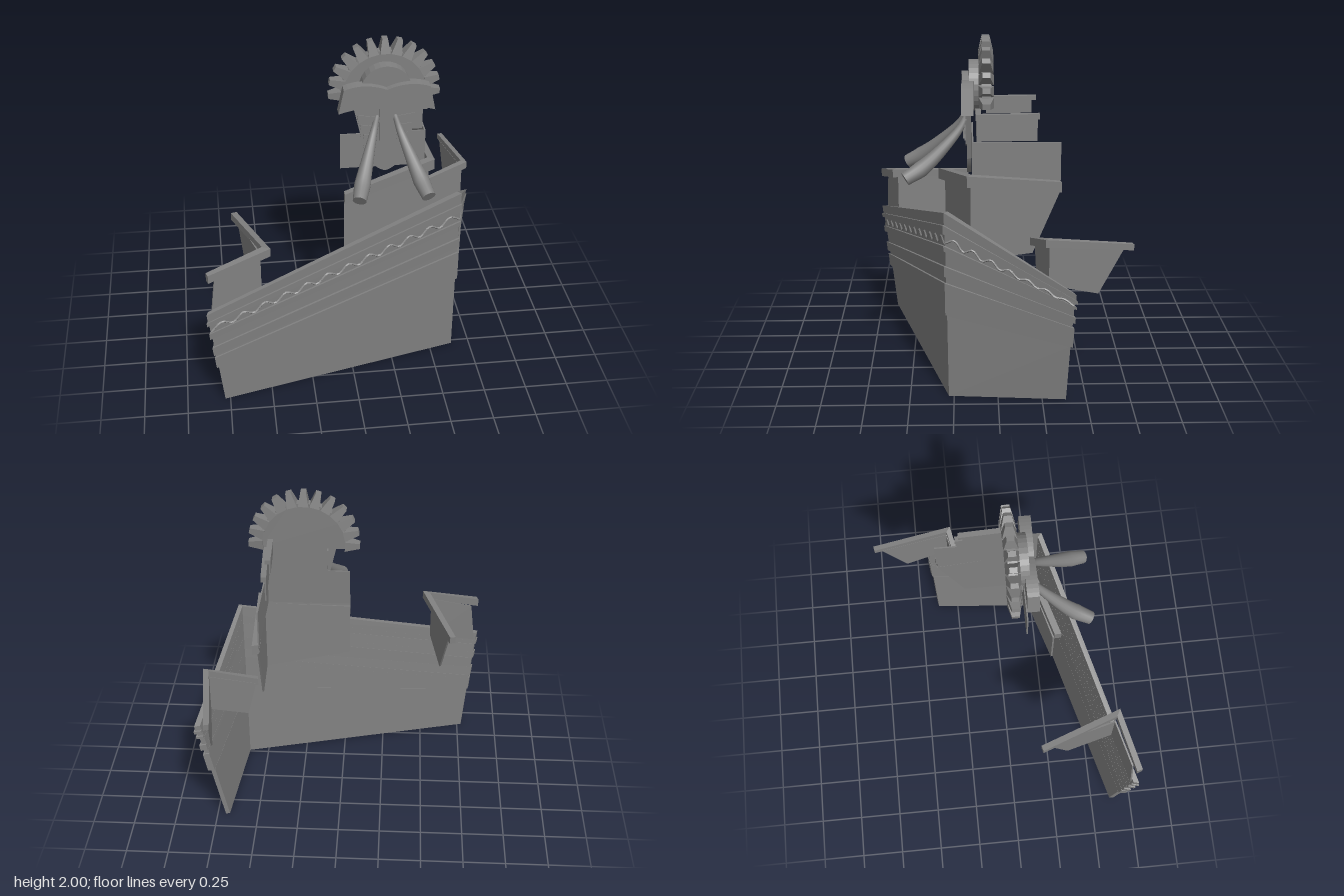
import * as THREE from 'three';

const GREY = 0x808080;
const mat = new THREE.MeshStandardMaterial({ color: GREY, flatShading: true, side: THREE.DoubleSide });
const smooth = new THREE.MeshStandardMaterial({ color: GREY, side: THREE.DoubleSide });
const V = (x, y, z) => new THREE.Vector3(x, y, z);

function add(parent, name, geo, m = mat) {
  const mesh = new THREE.Mesh(geo, m);
  mesh.name = name;
  parent.add(mesh);
  return mesh;
}

// Solid between a bottom and a top quad, one normal per side
function hexa(b, t) {
  const up = b[1].clone().sub(b[0]).cross(b[3].clone().sub(b[0])).y;
  if (up < 0) { b = [...b].reverse(); t = [...t].reverse(); }
  const pts = [], normals = [];
  const quad = (p, q, r, s) => {
    pts.push(p, q, r, p, r, s);
    const n = r.clone().sub(p).cross(s.clone().sub(q)).normalize();
    for (let i = 0; i < 6; i++) normals.push(n.x, n.y, n.z);
  };
  for (let i = 0; i < 4; i++) {
    const j = (i + 1) % 4;
    quad(b[i], b[j], t[j], t[i]);
  }
  quad(t[0], t[1], t[2], t[3]);
  quad(b[3], b[2], b[1], b[0]);
  const g = new THREE.BufferGeometry().setFromPoints(pts);
  g.setAttribute('normal', new THREE.Float32BufferAttribute(normals, 3));
  return g;
}

// Horizontal unit direction between two points
const dir = (from, to) => V(to.x - from.x, 0, to.z - from.z).normalize();

// L-shaped wall in plan. c, a, b = [bottom, top] of the corner and of both ends;
// t = thickness inward, off = how far it stands out of the base line.
function lWall(parent, name, c, a, b, t, off = 0) {
  const group = new THREE.Group();
  group.name = name;
  parent.add(group);
  const u = dir(c[1], a[1]), v = dir(c[1], b[1]);
  const at = (p, du, dv) => p.clone().addScaledVector(u, du).addScaledVector(v, dv);
  const armA = k => [at(a[k], off * 0.6, -off), at(c[k], -off, -off), at(c[k], t, t), at(a[k], off * 0.6, t)];
  const armB = k => [at(b[k], -off, off * 0.6), at(c[k], -off, -off), at(c[k], t, t), at(b[k], t, off * 0.6)];
  add(group, name + 'Front', hexa(armA(0), armA(1)), smooth);
  add(group, name + 'Side', hexa(armB(0), armB(1)), smooth);
}

// Upright pair [bottom, top] at one plan position
const post = (x, z, y0, y1) => [V(x, y0, z), V(x, y1, z)];

// Base lines of the leaning outer walls at height y
const leftEnd = y => V(-0.78 - 0.1 * y, y, 0.645 + 0.12 * y);
const corner = y => V(0.64 + 0.005 * y, y, 0.28 + 0.01 * y);
const rightEnd = y => V(0.7 + 0.2 * y, y, -0.385 - 0.04 * y);

function buildWalls(root) {
  // Heights of each seam at left end, corner, right end; stand-out of the strip above it
  const seams = [
    [0, 0, 0, 0], [0.27, 0.5, 0.355, 0.014], [0.35, 0.69, 0.48, 0.002],
    [0.37, 0.73, 0.51, 0.016], [0.43, 0.79, 0.55, 0.003], [0.5, 0.88, 0.6, 0.018],
    [0.54, 0.91, 0.615, 0.006], [0.6, 0.98, 0.635, 0.02], [0.625, 1.03, 0.655, 0.01],
    [0.68, 1.1, 0.69, 0],
  ];
  const names = ['lowerWall', 'broadBand', 'lowerGroove', 'middleBand', 'plainPanel',
    'friezeSill', 'friezePanel', 'friezeCornice', 'parapet'];
  names.forEach((name, i) => {
    const p = seams[i], q = seams[i + 1];
    lWall(root, name, [corner(p[1]), corner(q[1])], [leftEnd(p[0]), leftEnd(q[0])],
      [rightEnd(p[2]), rightEnd(q[2])], 0.025, p[3]);
  });
  // Zigzag ornament on the frieze
  const zigzag = (name, end, k, count, outward) => {
    const pts = [];
    for (let i = 0; i <= count; i++) {
      const s = i / count, h = i % 2 ? 0.8 : 0.2;
      const y0 = THREE.MathUtils.lerp(seams[6][1], seams[6][k], s);
      const y1 = THREE.MathUtils.lerp(seams[7][1], seams[7][k], s);
      const p = corner(0.95).lerp(end, s).addScaledVector(outward, 0.006);
      pts.push(V(p.x, THREE.MathUtils.lerp(y0, y1, h), p.z));
    }
    add(root, name, new THREE.TubeGeometry(new THREE.CatmullRomCurve3(pts), count * 4, 0.006, 4));
  };
  zigzag('frontZigzag', leftEnd(0.57), 0, 24, V(0.28, 0, 0.96));
  zigzag('sideZigzag', rightEnd(0.625), 2, 14, V(0.96, 0, 0.25));
}

function buildTurrets(root) {
  lWall(root, 'leftTurret', post(-0.54, 0.61, 0.72, 0.99),
    [V(-0.83, 0.64, 0.7), V(-0.8, 0.9, 0.69)], [V(-0.6, 0.66, 0.33), V(-0.64, 0.95, 0.2)], 0.01);
  lWall(root, 'leftTurretCap', post(-0.485, 0.64, 0.98, 1.03),
    post(-0.835, 0.735, 0.89, 0.94), post(-0.65, 0.16, 0.94, 0.985), 0.035);
  lWall(root, 'rightTurret', post(0.775, -0.275, 0.72, 0.95),
    [V(0.55, 0.66, -0.22), V(0.5, 0.87, -0.21)], [V(0.735, 0.655, -0.55), V(0.72, 0.915, -0.69)], 0.01);
  lWall(root, 'rightTurretCap', post(0.8, -0.255, 0.945, 0.99),
    post(0.49, -0.185, 0.855, 0.9), post(0.735, -0.74, 0.905, 0.94), 0.03);
}

function buildTower(root) {
  lWall(root, 'towerBase', post(0.48, 0.15, 0.76, 1.21),
    post(-0.035, 0.3, 0.78, 1.11), [V(0.465, 0.8, -0.2), V(0.465, 1.17, -0.355)], 0.01);
  lWall(root, 'towerBaseCap', post(0.51, 0.17, 1.2, 1.265),
    post(-0.035, 0.34, 1.1, 1.165), post(0.495, -0.36, 1.165, 1.225), 0.04);
  // Upper tiers: front right x, back right x, left x, front z, back z, bottom y, top y
  const tiers = [
    ['secondTier', 0.455, 0.46, -0.04, 0.14, -0.355, 1.225, 1.445],
    ['thirdTier', 0.44, 0.425, 0.09, 0.115, -0.225, 1.445, 1.575],
    ['thirdTierCap', 0.465, 0.445, 0.085, 0.12, -0.235, 1.57, 1.602],
    ['topTier', 0.41, 0.4, 0.09, 0.06, -0.19, 1.6, 1.68],
    ['topTierCap', 0.43, 0.42, 0.08, 0.07, -0.215, 1.675, 1.7],
  ];
  for (const [name, x1, xb, x0, z1, z0, y0, y1] of tiers)
    lWall(root, name, post(x1, z1, y0, y1), post(x0, z1, y0, y1), post(xb, z0, y0, y1),
      name.endsWith('Cap') ? 0.032 : 0.008);
}

function extrude(shape, depth, z) {
  return new THREE.ExtrudeGeometry(shape, { depth, bevelEnabled: false, curveSegments: 10 }).translate(0, 0, z);
}

function buildMask(root) {
  const mask = new THREE.Group();
  mask.name = 'mask';
  mask.position.x = 0.22;
  root.add(mask);

  // Sunburst crown: half disc edged with tapered four-sided teeth
  const disc = new THREE.Shape();
  disc.absarc(0, 1.68, 0.25, -0.13, Math.PI + 0.13, false);
  add(mask, 'crownDisc', extrude(disc, 0.05, 0.035));
  for (let i = 0; i < 13; i++) {
    const a = THREE.MathUtils.degToRad(-3 + i * 15.5);
    const tooth = add(mask, 'crownTooth', new THREE.CylinderGeometry(0.022, 0.042, 0.085, 4)
      .rotateY(Math.PI / 4).scale(1, 1, 1.4));
    tooth.position.set(Math.cos(a) * 0.278, 1.68 + Math.sin(a) * 0.278, 0.06);
    tooth.rotation.z = a - Math.PI / 2;
  }
  add(mask, 'headDome', new THREE.CylinderGeometry(0.145, 0.145, 0.07, 28)
    .rotateX(Math.PI / 2).translate(0, 1.72, 0.12));

  // Brow visor: two halves meeting at the centre line
  const brow = new THREE.Shape();
  brow.moveTo(0, 1.74);
  brow.quadraticCurveTo(0.13, 1.795, 0.245, 1.75);
  brow.lineTo(0.275, 1.605);
  brow.quadraticCurveTo(0.13, 1.65, 0, 1.615);
  for (const s of [1, -1]) {
    const g = extrude(brow, 0.068, 0.125), p = g.attributes.position;
    for (let i = 0; i < p.count; i++) p.setZ(i, p.getZ(i) + 0.02 * p.getX(i));
    g.computeVertexNormals();
    add(mask, s > 0 ? 'leftBrow' : 'rightBrow', g).scale.x = s;
  }

  // Tapering face with a thinner chin
  const chin = new THREE.Shape();
  chin.moveTo(-0.195, 1.66);
  chin.lineTo(-0.115, 1.32);
  chin.quadraticCurveTo(-0.07, 1.23, 0, 1.21);
  chin.quadraticCurveTo(0.07, 1.23, 0.115, 1.32);
  chin.lineTo(0.195, 1.66);
  add(mask, 'chin', extrude(chin, 0.025, 0.143));
  const cheeks = new THREE.Shape();
  cheeks.moveTo(-0.185, 1.65);
  cheeks.lineTo(-0.13, 1.41);
  cheeks.quadraticCurveTo(0, 1.34, 0.13, 1.41);
  cheeks.lineTo(0.185, 1.65);
  add(mask, 'cheeks', extrude(cheeks, 0.02, 0.155));
  add(mask, 'nose', new THREE.BoxGeometry(0.08, 0.22, 0.03).translate(0, 1.53, 0.175));

  for (const s of [1, -1]) {
    const side = s > 0 ? 'left' : 'right';
    // Raised cheek ribs
    for (let i = 0; i < 3; i++) {
      const rib = add(mask, side + 'CheekRib', new THREE.BoxGeometry(0.1 - i * 0.015, 0.03, 0.02));
      rib.position.set(s * (0.115 - i * 0.01), 1.56 - i * 0.06, 0.17);
      rib.rotation.z = s * 0.15;
    }
    // Flaring tusk: a tube widened along its length
    const path = new THREE.CatmullRomCurve3([V(s * 0.05, 1.57, 0.165), V(s * 0.075, 1.49, 0.205),
      V(s * 0.12, 1.38, 0.305), V(s * 0.165, 1.28, 0.42), V(s * 0.195, 1.225, 0.515)]);
    const n = 20, k = 14, g = new THREE.TubeGeometry(path, n, 1, k), p = g.attributes.position;
    for (let i = 0; i <= n; i++) {
      const c = path.getPointAt(i / n), u = i / n;
      const r = 0.014 + 0.033 * Math.min(1, u * 1.25) - 0.008 * Math.max(0, u * 5 - 4);
      for (let j = 0; j <= k; j++) {
        const id = i * (k + 1) + j;
        const v = V(0, 0, 0).fromBufferAttribute(p, id).sub(c).multiplyScalar(r).add(c);
        p.setXYZ(id, v.x, v.y, v.z);
      }
    }
    add(mask, side + 'Tusk', g, smooth);
    const tip = add(mask, side + 'TuskEnd', new THREE.CircleGeometry(0.039, k));
    tip.position.copy(path.getPointAt(1));
    tip.quaternion.setFromUnitVectors(V(0, 0, 1), path.getTangentAt(1));
  }
}

export function createModel() {
  const root = new THREE.Group();
  root.name = 'templeFacade';
  buildWalls(root);
  buildTurrets(root);
  buildTower(root);
  buildMask(root);
  return root;
}
